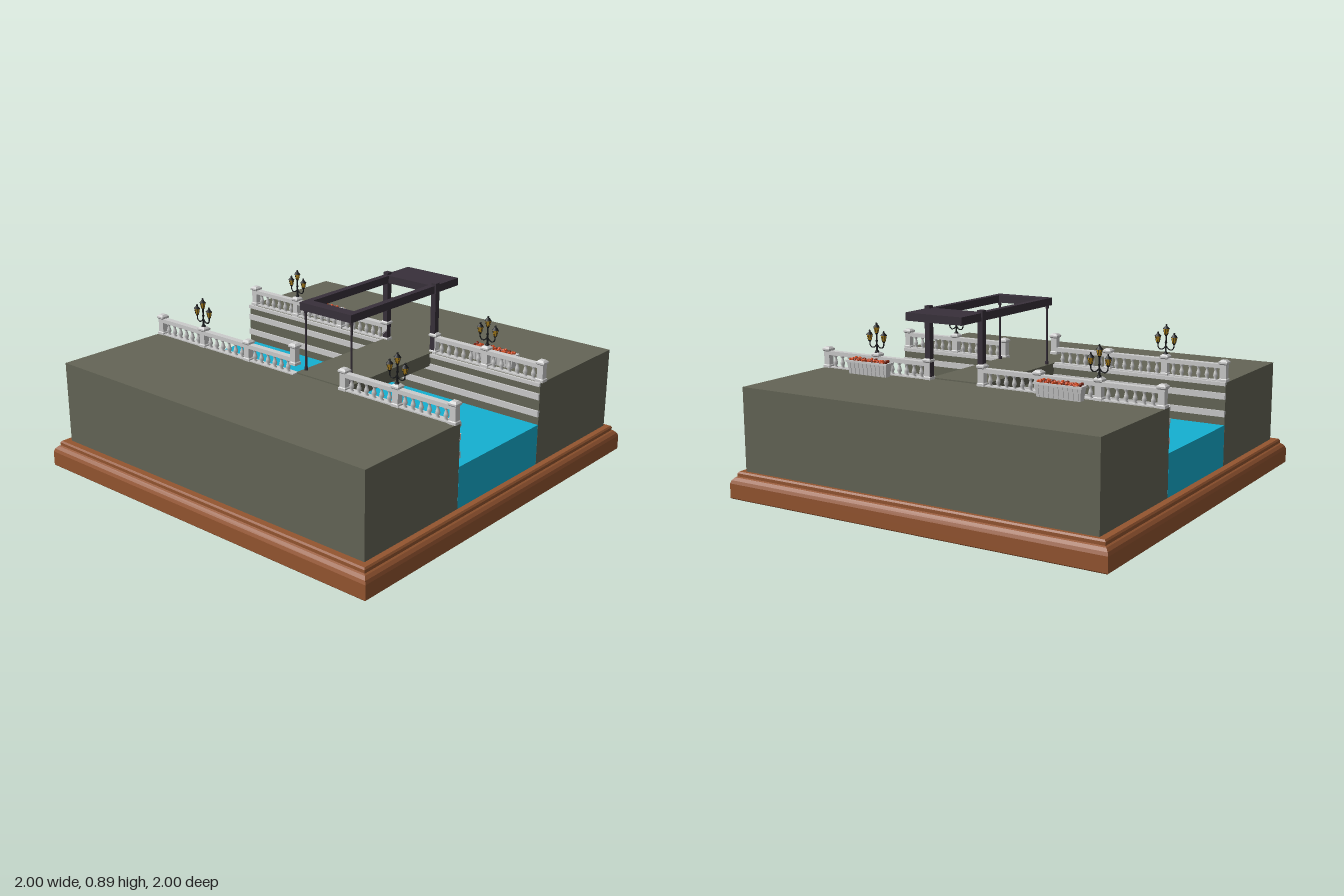
import * as THREE from 'three';

const mat = (color, flat = false) =>
  new THREE.MeshStandardMaterial({ color, flatShading: flat, side: THREE.DoubleSide });
const M = {
  wood: mat(0x945530, true), bank: mat(0x646556), water: mat(0x14b0d2), stone: mat(0xcccccc),
  timber: mat(0x38303a), iron: mat(0x17181a), glass: mat(0xb98a1c, true),
  flower: mat(0xd2491c, true), flowerDark: mat(0x7a2412, true),
};
const TOP = 0.535; // street level

function add(parent, name, geo, material, x = 0, y = 0, z = 0) {
  const m = new THREE.Mesh(geo, material);
  m.name = name;
  m.position.set(x, y, z);
  parent.add(m);
  return m;
}

// box given by its limits on each axis
function block(parent, name, material, x0, x1, y0, y1, z0, z1) {
  return add(parent, name, new THREE.BoxGeometry(x1 - x0, y1 - y0, z1 - z0), material,
    (x0 + x1) / 2, (y0 + y1) / 2, (z0 + z1) / 2);
}

// square-section turned form: profile of [half width, height]
function squareLathe(profile) {
  const pts = profile.map(([r, y]) => new THREE.Vector2(r * Math.SQRT2, y));
  return new THREE.LatheGeometry(pts, 4).rotateY(Math.PI / 4).toNonIndexed();
}
const flat = (geo) => { geo.computeVertexNormals(); return geo; };

const pillarGeo = flat(squareLathe([[0, 0], [0.02, 0], [0.02, 0.012], [0.016, 0.016], [0.016, 0.082],
  [0.022, 0.088], [0.022, 0.096], [0.012, 0.105], [0, 0.105]]));
const balusterGeo = new THREE.LatheGeometry([[0.011, 0], [0.011, 0.008], [0.006, 0.012], [0.012, 0.026],
  [0.009, 0.038], [0.005, 0.052], [0.009, 0.057], [0.01, 0.066]].map((p) => new THREE.Vector2(...p)), 8);

// balustrade run: pillars at the given x positions, balusters between them
function balustrade(parent, name, xs, z, raised = null) {
  const g = new THREE.Group();
  g.name = name;
  parent.add(g);
  xs.forEach((x) => add(g, 'pillar', pillarGeo, M.stone, x, TOP + (x === raised ? 0.05 : 0), z));
  const a = xs[0], b = xs[xs.length - 1];
  block(g, 'topRail', M.stone, a, b, 0.6, 0.62, z - 0.016, z + 0.016);
  block(g, 'bottomRail', M.stone, a, b, TOP, 0.541, z - 0.015, z + 0.015);
  for (let i = 0; i < xs.length - 1; i++) {
    for (let k = 1; k <= 6; k++) {
      const x = xs[i] + (xs[i + 1] - xs[i]) * k / 7;
      add(g, 'baluster', balusterGeo, M.stone, x, TOP, z);
    }
  }
}

// lantern: tapered glass, corner bars and a pointed roof
function lantern(parent, x, y) {
  const g = new THREE.Group();
  g.name = 'lantern';
  g.position.set(x, y, 0);
  parent.add(g);
  add(g, 'lanternFoot', new THREE.CylinderGeometry(0.009, 0.004, 0.008, 6), M.iron, 0, 0.004);
  add(g, 'lanternGlass', new THREE.CylinderGeometry(0.014, 0.008, 0.028, 6), M.glass, 0, 0.022);
  for (let i = 0; i < 6; i++) {
    const t = i * Math.PI / 3;
    const from = new THREE.Vector3(0.008 * Math.sin(t), 0.008, 0.008 * Math.cos(t));
    const to = new THREE.Vector3(0.014 * Math.sin(t), 0.036, 0.014 * Math.cos(t));
    add(g, 'lanternBar', new THREE.TubeGeometry(new THREE.LineCurve3(from, to), 1, 0.0012, 4), M.iron);
  }
  add(g, 'lanternRoof', new THREE.CylinderGeometry(0.005, 0.017, 0.014, 6), M.iron, 0, 0.043);
  add(g, 'lanternFinial', new THREE.SphereGeometry(0.005, 6, 5), M.iron, 0, 0.054);
}

// street lamp with one raised lantern and two on curved arms
function lamp(parent, x, z) {
  const g = new THREE.Group();
  g.name = 'streetLamp';
  g.position.set(x, 0.635, z);
  parent.add(g);
  const pole = [[0.012, 0], [0.011, 0.008], [0.005, 0.016], [0.004, 0.055], [0.007, 0.06], [0.004, 0.066], [0.004, 0.094]];
  add(g, 'lampPole', new THREE.LatheGeometry(pole.map((p) => new THREE.Vector2(...p)), 8), M.iron);
  lantern(g, 0, 0.092);
  for (const s of [-1, 1]) {
    const curve = new THREE.CatmullRomCurve3([[0, 0.045], [0.014, 0.03], [0.03, 0.027], [0.041, 0.037], [0.043, 0.054]]
      .map(([px, py]) => new THREE.Vector3(s * px, py, 0)));
    add(g, 'lampArm', new THREE.TubeGeometry(curve, 12, 0.003, 6), M.iron);
    lantern(g, s * 0.043, 0.053);
  }
}

// flared trough with ribs and a bed of small blossoms
function flowerBox(parent, x, z) {
  const g = new THREE.Group();
  g.name = 'flowerBox';
  g.position.set(x, TOP, z);
  parent.add(g);
  const trough = new THREE.BoxGeometry(0.24, 0.066, 0.05);
  const p = trough.attributes.position;
  for (let i = 0; i < p.count; i++) {
    if (p.getY(i) < 0) p.setXYZ(i, p.getX(i) * 0.93, p.getY(i), p.getZ(i) * 0.65);
  }
  trough.computeVertexNormals();
  add(g, 'trough', trough, M.stone, 0, 0.033);
  for (const s of [-1, 1]) {
    block(g, 'troughRim', M.stone, -0.124, 0.124, 0.058, 0.068, s * 0.024 - 0.004, s * 0.024 + 0.004);
    block(g, 'troughRimEnd', M.stone, s * 0.12 - 0.004, s * 0.12 + 0.004, 0.058, 0.068, -0.028, 0.028);
    for (let i = 0; i < 9; i++) {
      const rib = add(g, 'troughRib', new THREE.BoxGeometry(0.008, 0.06, 0.006), M.stone, -0.1 + i * 0.025, 0.031, s * 0.021);
      rib.rotation.x = s * 0.13;
    }
  }
  let seed = 7;
  const rnd = () => (seed = (seed * 16807) % 2147483647) / 2147483647;
  const bloom = new THREE.IcosahedronGeometry(0.009, 0);
  for (let i = 0; i < 54; i++) {
    const f = add(g, 'blossom', bloom, i % 3 ? M.flower : M.flowerDark,
      -0.11 + 0.22 * ((i % 18) + rnd() * 0.6) / 18, 0.064 + rnd() * 0.012, (Math.floor(i / 18) - 1) * 0.014);
    f.rotation.set(rnd() * 3, rnd() * 3, 0);
  }
}

export function createModel() {
  const root = new THREE.Group();
  root.name = 'canalBridgeDiorama';

  // moulded plinth
  add(root, 'plinth', squareLathe([[0, 0], [0.995, 0], [1, 0.005], [1, 0.075], [0.994, 0.09], [0.982, 0.103],
    [0.974, 0.107], [0.974, 0.122], [0.968, 0.13], [0, 0.13]]), M.wood);

  // quays and water
  const X0 = -0.935, X1 = 0.94;
  block(root, 'frontQuay', M.bank, X0, X1, 0.13, TOP, 0.305, 0.935);
  block(root, 'backQuay', M.bank, X0, X1, 0.13, TOP, -0.95, -0.32);
  block(root, 'water', M.water, X0, X1, 0.13, 0.33, -0.319, 0.304);

  // stone string courses along the canal walls
  for (const [y0, y1] of [[0.37, 0.4], [0.455, 0.485], [0.52, 0.537]]) {
    block(root, 'frontWallCourse', M.stone, X0, X1, y0, y1, 0.296, 0.31);
    block(root, 'backWallCourse', M.stone, X0, X1, y0, y1, -0.325, -0.311);
  }

  // balustrades on both sides, open at the bridge
  const left = [-0.915, -0.61, -0.3, 0.005], right = [0.31, 0.615, 0.925];
  balustrade(root, 'frontBalustradeWest', left, 0.328, 0.005);
  balustrade(root, 'frontBalustradeEast', right, 0.328);
  balustrade(root, 'backBalustradeWest', left, -0.35);
  balustrade(root, 'backBalustradeEast', right, -0.35);
  for (const x of [-0.61, 0.615]) {
    lamp(root, x, 0.33);
    lamp(root, x, -0.355);
  }
  flowerBox(root, -0.445, -0.412);
  flowerBox(root, 0.62, -0.412);

  // drawbridge: deck, lifting frame, counterweight, posts and rods
  const bridge = new THREE.Group();
  bridge.name = 'drawbridge';
  root.add(bridge);
  block(bridge, 'deck', M.bank, 0, 0.31, 0.475, 0.541, -0.33, 0.315);
  block(bridge, 'counterweight', M.timber, 0, 0.312, 0.84, 0.878, -0.525, -0.33);
  block(bridge, 'frontBeam', M.timber, 0, 0.312, 0.84, 0.878, 0.228, 0.285);
  for (const s of [-1, 1]) {
    const c = 0.156 + s * 0.14;
    block(bridge, 'sideBeam', M.timber, c - 0.016, c + 0.016, 0.84, 0.878, -0.33, 0.228);
    const px = 0.157 + s * 0.149;
    block(bridge, 'post', M.timber, px - 0.014, px + 0.014, TOP, 0.89, -0.364, -0.334);
    add(bridge, 'liftRod', new THREE.CylinderGeometry(0.005, 0.005, 0.3, 8), M.timber, c, 0.69, 0.262);
    for (const y of [0.548, 0.832]) {
      add(bridge, 'rodFitting', new THREE.CylinderGeometry(0.009, 0.009, 0.016, 8), M.timber, c, y, 0.262);
    }
  }
  return root;
}
